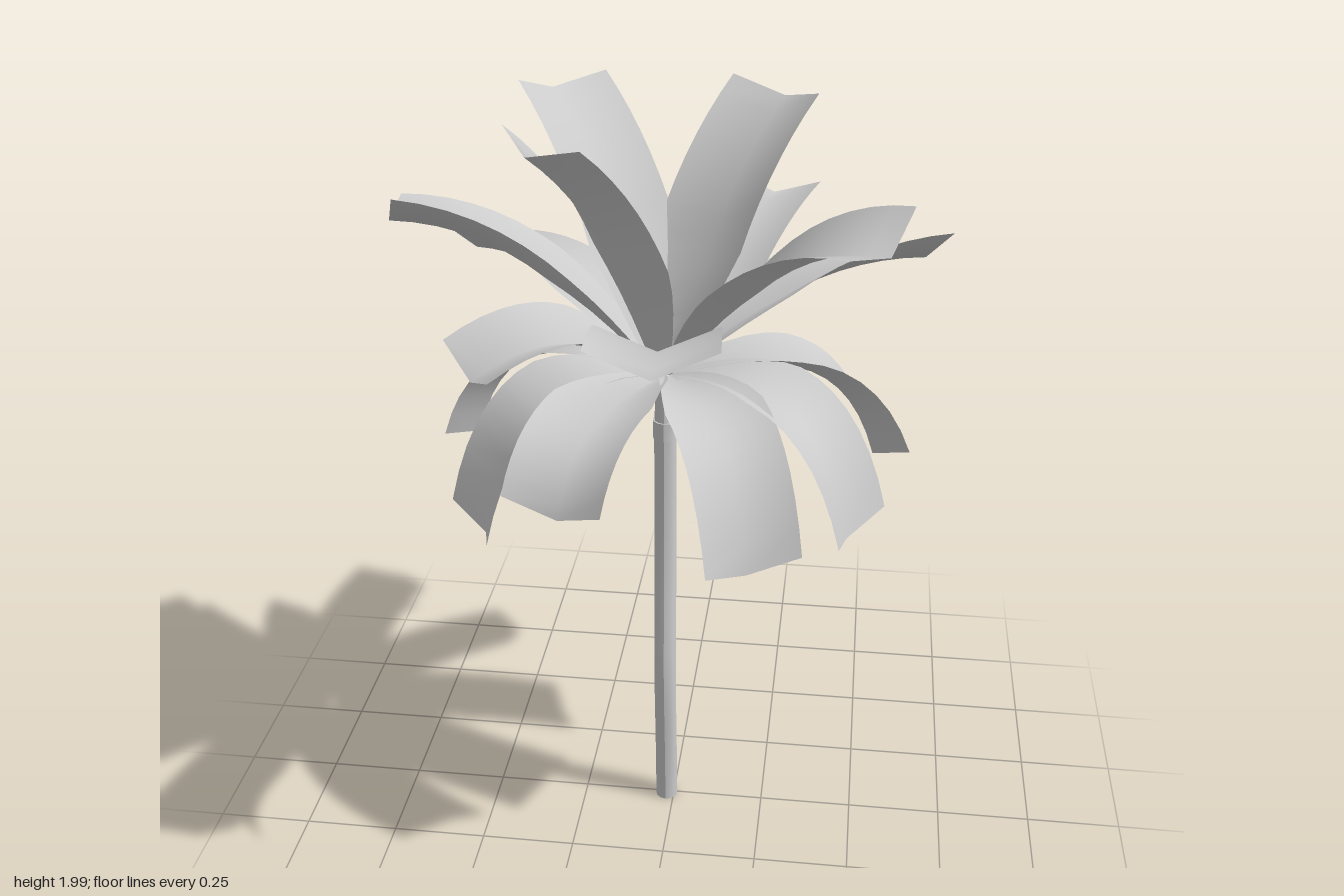
import * as THREE from 'three';

const barkMat = new THREE.MeshStandardMaterial({ color: 0xcccccc });
const leafMat = new THREE.MeshStandardMaterial({ color: 0xcccccc, side: THREE.DoubleSide });
const CROWN = new THREE.Vector3(-0.02, 1.33, 0.005);

// Frond tiers: reach and rise place the bend of the arch, width is the half width,
// point is how far the midrib juts out at the end, tips are [x, y, z, roll] of the frond ends.
const TIERS = [
  { name: 'uprightFrond', reach: 0.24, rise: (y) => y - 0.22, width: 0.134, point: 0.01, tips: [
    [-0.30, 1.975, -0.27, 0.1], [0.21, 1.96, -0.31, 0], [-0.25, 1.985, 0.27, 0]] },
  { name: 'raisedFrond', reach: 0.42, rise: (y) => y - 0.03, width: 0.138, point: 0.015, tips: [
    [0.48, 1.82, 0.31, 0.15], [-0.62, 1.79, 0.12, 0.28], [0.04, 1.69, 0.675, 0], [0.19, 1.62, -0.655, 0]] },
  { name: 'levelFrond', reach: 0.42, rise: () => 1.62, width: 0.136, point: 0.015, tips: [
    [0.59, 1.55, -0.42, -0.36], [-0.54, 1.56, -0.33, 0.33], [-0.44, 1.47, 0.30, 0]] },
  { name: 'droopingFrond', reach: 0.78, rise: () => 1.51, width: 0.122, point: 0.03, tips: [
    [-0.14, 1.16, -0.58, 0], [0.53, 1.13, -0.11, -0.3], [0.48, 1.06, 0.24, 0], [0.24, 1.06, 0.45, 0],
    [-0.20, 1.26, 0.57, 0], [-0.46, 1.04, 0.29, 0], [-0.56, 1.12, -0.12, 0]] },
];

// One arched blade with a shallow V cross-section
function frondGeometry([x, y, z, roll], { reach, rise, width, point }) {
  const tip = new THREE.Vector3(x, y, z);
  const bend = CROWN.clone().lerp(tip, reach).setY(rise(y));
  const dir = tip.clone().sub(CROWN).setY(0).normalize();
  const start = CROWN.clone().addScaledVector(dir, 0.015);
  const curve = new THREE.QuadraticBezierCurve3(start, bend, tip);
  const flatSide = new THREE.Vector3(dir.z, 0, -dir.x);
  const positions = [], index = [];
  const n = 12;
  for (let i = 0; i <= n; i++) {
    const t = i / n;
    const centre = curve.getPoint(t);
    const tangent = curve.getTangent(t);
    const side = flatSide.clone().applyAxisAngle(tangent, roll * t);
    const normal = tangent.clone().cross(side);
    // Narrow stalk that opens quickly into an even blade
    const w = 0.012 + (width - 0.012) * Math.pow(Math.min(1, t / 0.4), 0.7);
    for (const s of [-1, 0, 1]) {
      const p = centre.clone().addScaledVector(side, s * w);
      if (s === 0) p.addScaledVector(normal, -0.4 * w).addScaledVector(tangent, point * t);
      positions.push(p.x, p.y, p.z);
    }
    if (i === n) break;
    for (let k = 0; k < 2; k++) {
      const a = i * 3 + k;
      index.push(a, a + 3, a + 1, a + 1, a + 3, a + 4);
    }
  }
  const g = new THREE.BufferGeometry();
  g.setAttribute('position', new THREE.Float32BufferAttribute(positions, 3));
  g.setIndex(index);
  g.computeVertexNormals();
  return g;
}

// Gentle forward bow of the trunk at height y
function bow(y) {
  return 0.005 + 0.025 * Math.exp(-(((y - 0.45) / 0.25) ** 2));
}

// Upright round section that follows the bow
function stem(name, rTop, rBottom, y0, y1, rows) {
  const g = new THREE.CylinderGeometry(rTop, rBottom, y1 - y0, 12, rows);
  g.translate(0, (y0 + y1) / 2, 0);
  const p = g.attributes.position;
  for (let i = 0; i < p.count; i++) {
    p.setXYZ(i, p.getX(i) + CROWN.x, p.getY(i), p.getZ(i) + bow(p.getY(i)));
  }
  g.computeVertexNormals();
  const mesh = new THREE.Mesh(g, barkMat);
  mesh.name = name;
  return mesh;
}

export function createModel() {
  const group = new THREE.Group();
  group.name = 'palmTree';

  // Trunk, collar and neck
  group.add(stem('trunk', 0.028, 0.03, 0, 1.17, 14));
  group.add(stem('collar', 0.031, 0.031, 1.15, 1.2, 1));
  group.add(stem('neck', 0.022, 0.027, 1.2, 1.3, 1));

  // Crown of fronds
  const crown = new THREE.Group();
  crown.name = 'crown';
  for (const tier of TIERS) {
    for (const tip of tier.tips) {
      const frond = new THREE.Mesh(frondGeometry(tip, tier), leafMat);
      frond.name = tier.name;
      crown.add(frond);
    }
  }
  group.add(crown);
  return group;
}
